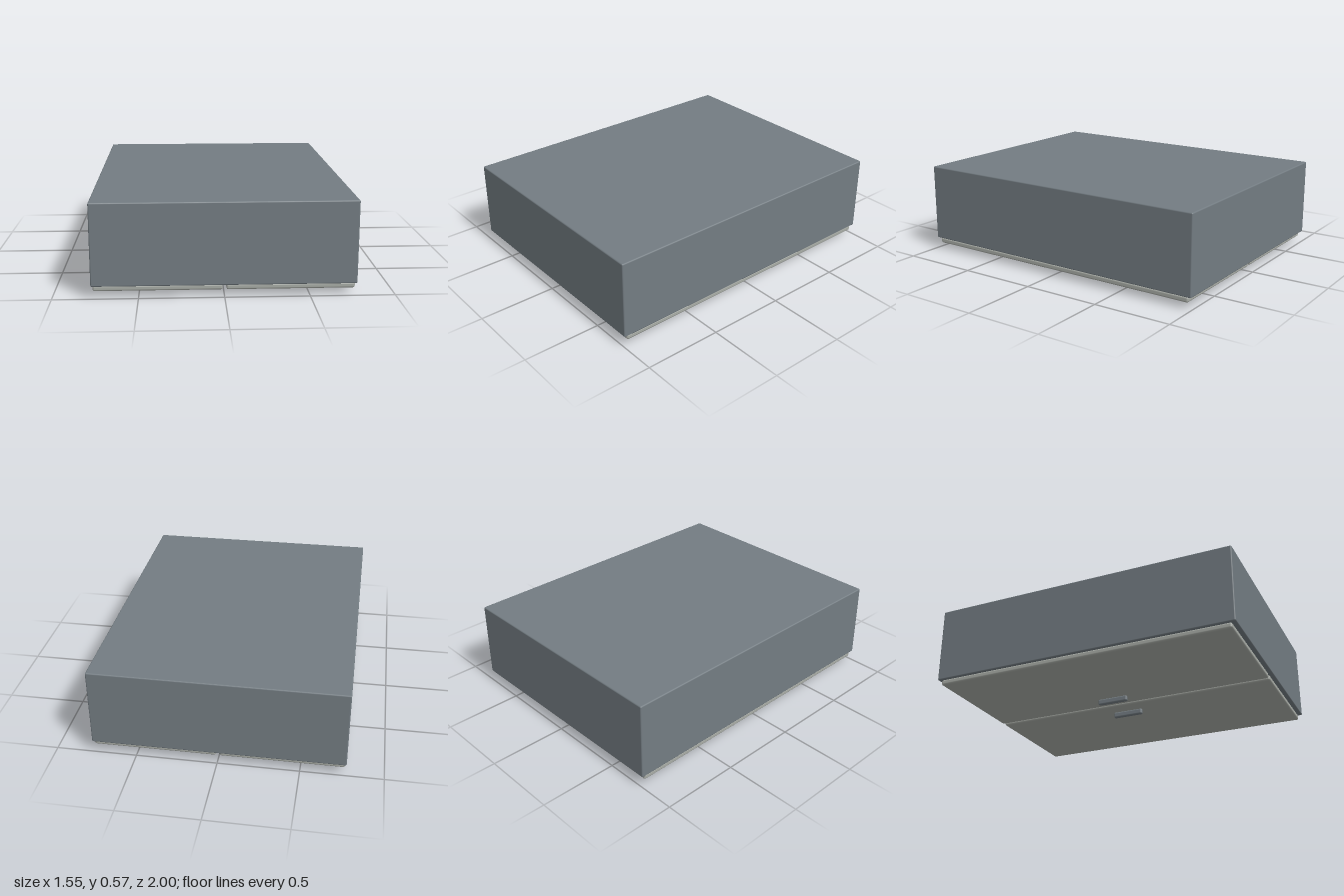
import * as THREE from 'three';
import { RoundedBoxGeometry } from 'three/addons/geometries/RoundedBoxGeometry.js';

// Two-door cabinet lying on its doors
export function createModel() {
  const model = new THREE.Group();
  model.name = 'cabinet';

  const material = (name, color) => {
    const m = new THREE.MeshStandardMaterial({ color });
    m.name = name;
    return m;
  };
  const slate = material('slate grey', 0x737c82);
  const pale = material('pale grey', 0xa8aca6);

  // Soft-edged box given by its lower and upper corners
  const box = (name, mat, min, max, radius) => {
    const size = max.map((v, i) => v - min[i]);
    const mesh = new THREE.Mesh(new RoundedBoxGeometry(...size, 2, radius), mat);
    mesh.position.set(...max.map((v, i) => (v + min[i]) / 2));
    mesh.name = name;
    model.add(mesh);
  };

  // Carcass
  box('body', slate, [-0.775, 0.073, -1], [0.775, 0.57, 1], 0.008);

  // Mirrored doors and handles
  for (const [side, s] of [['left', 1], ['right', -1]]) {
    const span = (a, b) => (s > 0 ? [a, b] : [-b, -a]);
    const [d0, d1] = span(0.011, 0.766);
    box(side + 'Door', pale, [d0, 0.037, -0.975], [d1, 0.073, 0.975], 0.012);
    const [h0, h1] = span(0.111, 0.139);
    box(side + 'Handle', slate, [h0, 0, -0.16], [h1, 0.038, 0.047], 0.01);
  }
  return model;
}
